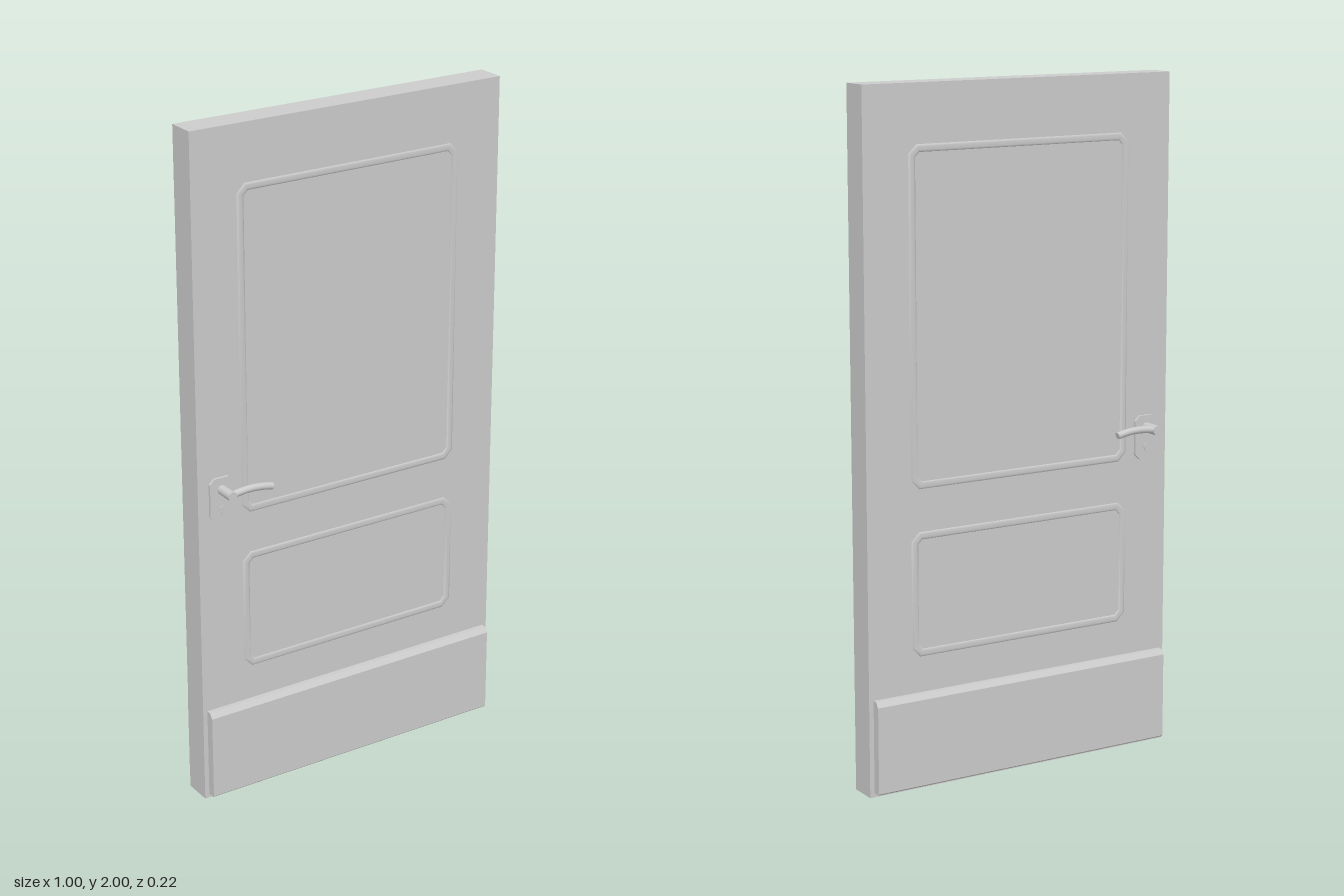
import * as THREE from 'three';
import { toCreasedNormals } from 'three/addons/utils/BufferGeometryUtils.js';

const material = new THREE.MeshStandardMaterial({ color: 0xcccccc });
const FACE = 0.0425; // half the thickness of the door leaf

function add(parent, name, geometry, x = 0, y = 0, z = 0) {
  const mesh = new THREE.Mesh(geometry, material);
  mesh.name = name;
  mesh.position.set(x, y, z);
  parent.add(mesh);
  return mesh;
}

// Corner points of a rectangle with cut corners, centred on the origin
function cutRectangle(w, h, cut) {
  const x = w / 2, y = h / 2;
  return [
    [x - cut, -y], [x, -y + cut], [x, y - cut], [x - cut, y],
    [-x + cut, y], [-x, y - cut], [-x, -y + cut], [-x + cut, -y],
  ].map(([px, py]) => new THREE.Vector2(px, py));
}

// Raised moulding frame with rounded-over edges
function moulding(w, h) {
  const bar = 0.026, cut = 0.027, round = 0.008;
  const shape = new THREE.Shape(cutRectangle(w, h, cut));
  const innerCut = cut - bar * (2 - Math.SQRT2);
  shape.holes.push(new THREE.Path(cutRectangle(w - 2 * bar, h - 2 * bar, innerCut)));
  const geometry = new THREE.ExtrudeGeometry(shape, {
    depth: 0.0025, bevelThickness: round, bevelSize: round, bevelOffset: -round, bevelSegments: 4,
  });
  return toCreasedNormals(geometry, 0.6);
}

// Kick plate: side profile with chamfered top, run across the door
function kickPlate() {
  const depth = 0.0265, top = 0.285, bottom = 0.012;
  const profile = new THREE.Shape([
    [0, bottom], [depth - 0.004, bottom], [depth, bottom + 0.004],
    [depth, top - 0.015], [depth - 0.011, top], [0, top],
  ].map(([z, y]) => new THREE.Vector2(z, y)));
  const length = 0.972;
  const geometry = new THREE.ExtrudeGeometry(profile, { depth: length, bevelEnabled: false });
  geometry.rotateY(-Math.PI / 2);
  geometry.translate(length / 2, 0, 0);
  return geometry;
}

// Lever handle with backplate and keyhole; dir is the way the lever points
function handle(dir) {
  const group = new THREE.Group();
  group.name = 'handle';
  const x = -0.427 * dir;

  const plate = new THREE.ExtrudeGeometry(new THREE.Shape(cutRectangle(0.076, 0.13, 0.015)), {
    depth: 0.008, bevelEnabled: false,
  });
  add(group, 'backplate', plate, x, 0.94, FACE);

  const keyhole = new THREE.CylinderGeometry(0.009, 0.009, 0.004, 12).rotateX(Math.PI / 2);
  add(group, 'keyhole', keyhole, x, 0.912, FACE + 0.009);
  add(group, 'keySlot', new THREE.BoxGeometry(0.007, 0.018, 0.004), x, 0.902, FACE + 0.009);

  const stem = new THREE.CylinderGeometry(0.0145, 0.0145, 0.0675, 12).rotateX(Math.PI / 2);
  add(group, 'stem', stem, x, 0.969, FACE + 0.03375);

  // Gently arched grip, closed at both ends
  const z = 0.098;
  const curve = new THREE.QuadraticBezierCurve3(
    new THREE.Vector3(x - 0.008 * dir, 0.966, z),
    new THREE.Vector3(x + 0.06 * dir, 0.985, z),
    new THREE.Vector3(-0.294 * dir, 0.966, z),
  );
  const radius = 0.0105;
  add(group, 'lever', new THREE.TubeGeometry(curve, 12, radius, 12));
  for (const t of [0, 1]) {
    const cap = add(group, 'leverEnd', new THREE.CircleGeometry(radius, 12));
    const out = curve.getTangent(t).multiplyScalar(t ? 1 : -1);
    cap.position.copy(curve.getPoint(t));
    cap.quaternion.setFromUnitVectors(new THREE.Vector3(0, 0, 1), out);
  }
  return group;
}

export function createModel() {
  const door = new THREE.Group();
  door.name = 'door';
  add(door, 'leaf', new THREE.BoxGeometry(1, 2, 2 * FACE), 0, 1, 0);

  // The same fittings on both faces, the handle staying on the same edge
  for (const dir of [1, -1]) {
    const side = new THREE.Group();
    side.name = dir > 0 ? 'frontFittings' : 'backFittings';
    if (dir < 0) side.rotation.y = Math.PI;
    add(side, 'upperMoulding', moulding(0.724, 0.963), 0, 1.3545, FACE - 0.008);
    add(side, 'lowerMoulding', moulding(0.724, 0.366), 0, 0.571, FACE - 0.008);
    add(side, 'kickPlate', kickPlate(), 0, 0, FACE);
    side.add(handle(dir));
    door.add(side);
  }
  return door;
}
